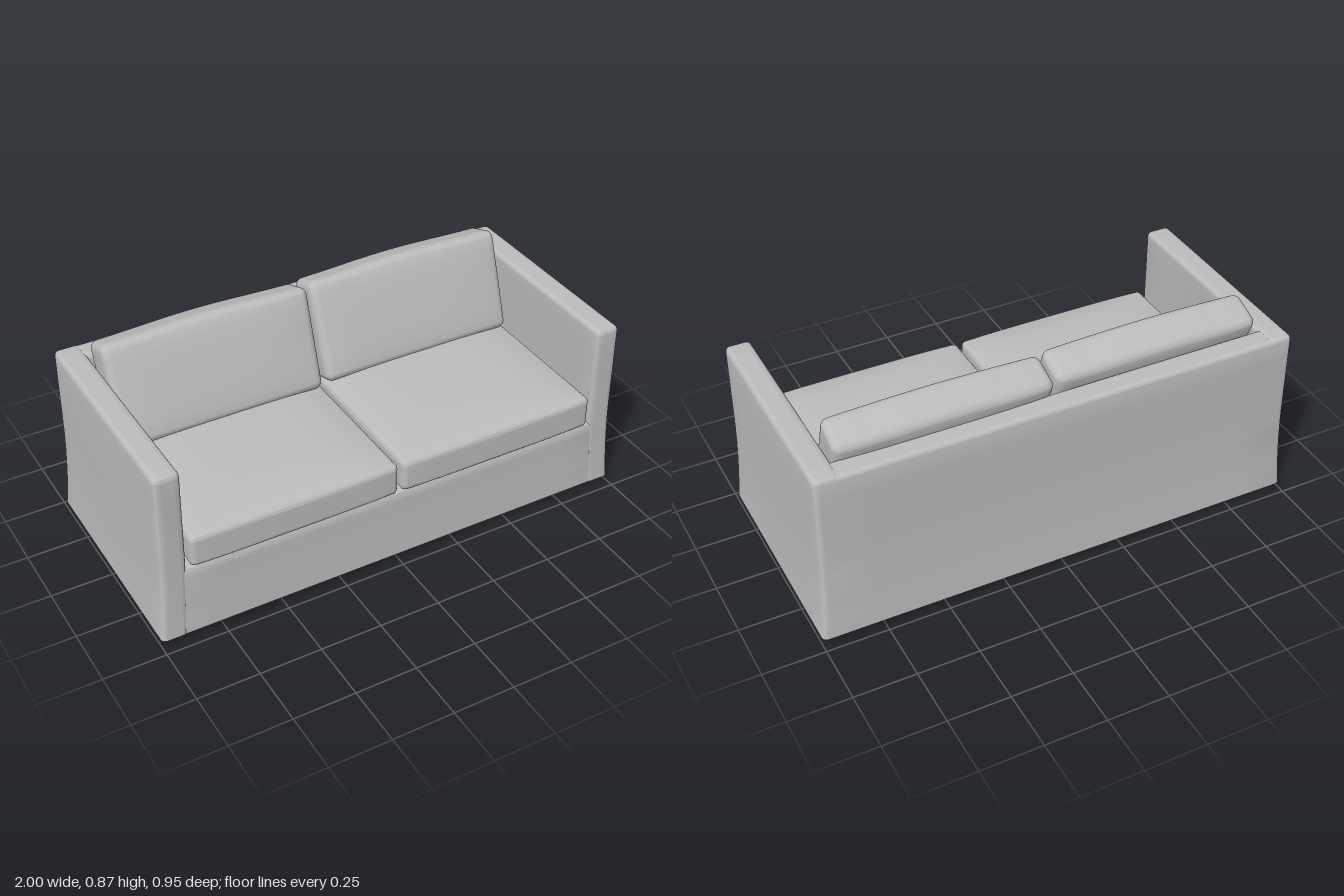
import * as THREE from 'three';
import { mergeVertices, toCreasedNormals } from 'three/addons/utils/BufferGeometryUtils.js';

const fabric = new THREE.MeshStandardMaterial({ color: 0xbcbcbc });
fabric.name = 'grey fabric';

const FLOOR_GAP = 0.03;

// Rounded box with an evenly divided middle; shape(p, u) may move each vertex, u runs -1..1 per axis
function softBox(size, r, shape) {
  const edge = 4, mid = 10, n = edge * 2 + mid;
  const geo = new THREE.BoxGeometry(2, 2, 2, n, n, n);
  geo.deleteAttribute('uv');
  geo.deleteAttribute('normal');
  const pos = geo.attributes.position;
  const p = new THREE.Vector3(), core = new THREE.Vector3(), dir = new THREE.Vector3();
  const axes = ['x', 'y', 'z'];
  for (let i = 0; i < pos.count; i++) {
    p.fromBufferAttribute(pos, i);
    axes.forEach((a, k) => {
      const half = size[k] / 2 - r;
      const step = Math.round((p[a] + 1) * n / 2) - n / 2;
      const over = Math.max(0, Math.abs(step) - mid / 2) / edge;
      core[a] = THREE.MathUtils.clamp(step / (mid / 2), -1, 1) * half;
      dir[a] = Math.sign(step) * Math.tan(over * Math.PI / 4);
    });
    p.copy(core).addScaledVector(dir.normalize(), r);
    if (shape) shape(p, new THREE.Vector3(p.x / size[0], p.y / size[1], p.z / size[2]).multiplyScalar(2));
    pos.setXYZ(i, p.x, p.y, p.z);
  }
  return toCreasedNormals(mergeVertices(geo, 1e-5), 0.65);
}

// Slipcover: flat at the hem, flaring gently outwards near the floor
function coverPart(name, min, max, r) {
  const size = max.map((v, i) => v - min[i]);
  const c = max.map((v, i) => (v + min[i]) / 2);
  const geo = softBox(size, r, (p) => {
    p.set(p.x + c[0], Math.max(p.y + c[1], FLOOR_GAP), p.z + c[2]);
    const flare = Math.max(0, 1 - (p.y - FLOOR_GAP) / 0.4) ** 2;
    const height = THREE.MathUtils.clamp((p.y - 0.03) / 0.72, 0, 1);
    const belly = 0.006 * Math.sin(Math.PI * height) * Math.cos(p.z * 3.3);
    p.x *= 1 + 0.02 * flare + belly;
    p.z *= 1 + 0.025 * flare;
  });
  const mesh = new THREE.Mesh(geo, fabric);
  mesh.name = name;
  return mesh;
}

export function createModel() {
  const sofa = new THREE.Group();
  sofa.name = 'sofa';
  const add = (name, geo, x, y, z, tilt = 0) => {
    const mesh = new THREE.Mesh(geo, fabric);
    mesh.name = name;
    mesh.position.set(x, y, z);
    mesh.rotation.x = tilt;
    sofa.add(mesh);
  };

  // Covered frame: base, back and two arms
  sofa.add(coverPart('base', [-0.965, 0, -0.44], [0.965, 0.325, 0.454], 0.015));
  sofa.add(coverPart('back', [-0.979, 0, -0.464], [0.979, 0.754, -0.365], 0.02));
  sofa.add(coverPart('leftArm', [0.878, 0, -0.463], [0.98, 0.757, 0.456], 0.02));
  sofa.add(coverPart('rightArm', [-0.98, 0, -0.463], [-0.878, 0.757, 0.456], 0.02));

  // Seat cushions with a crowned top and a slightly bowed front
  const seat = softBox([0.855, 0.135, 0.835], 0.02, (p, u) => {
    const crown = (1 - u.x ** 4) * (1 - u.z ** 4);
    if (u.y > 0) p.y += 0.025 * crown * u.y;
    if (u.z > 0) p.z += 0.006 * (1 - u.x ** 4) * u.z;
  });

  // Back cushions: plump on the faces, thinner towards the edges
  const pillow = softBox([0.855, 0.42, 0.155], 0.032, (p, u) => {
    const plump = (1 - u.x ** 4) * (1 - u.y ** 4);
    p.z += u.z * 0.012 * plump;
    p.x *= 1 + 0.008 * u.y;
    if (u.y > 0) p.y += 0.006 * u.y * Math.cos(u.x * 3);
  });

  for (const side of [1, -1]) {
    const word = side > 0 ? 'left' : 'right';
    add(word + 'SeatCushion', seat, side * 0.437, 0.395, 0.048);
    add(word + 'BackCushion', pillow, side * 0.439, 0.645, side > 0 ? -0.254 : -0.238, -0.36);
    // Short square feet
    for (const front of [1, -1]) {
      const foot = new THREE.BoxGeometry(0.052, 0.05, 0.056);
      add(word + (front > 0 ? 'FrontFoot' : 'BackFoot'), foot, side * 0.907, 0.025, front * 0.401);
    }
  }
  return sofa;
}
